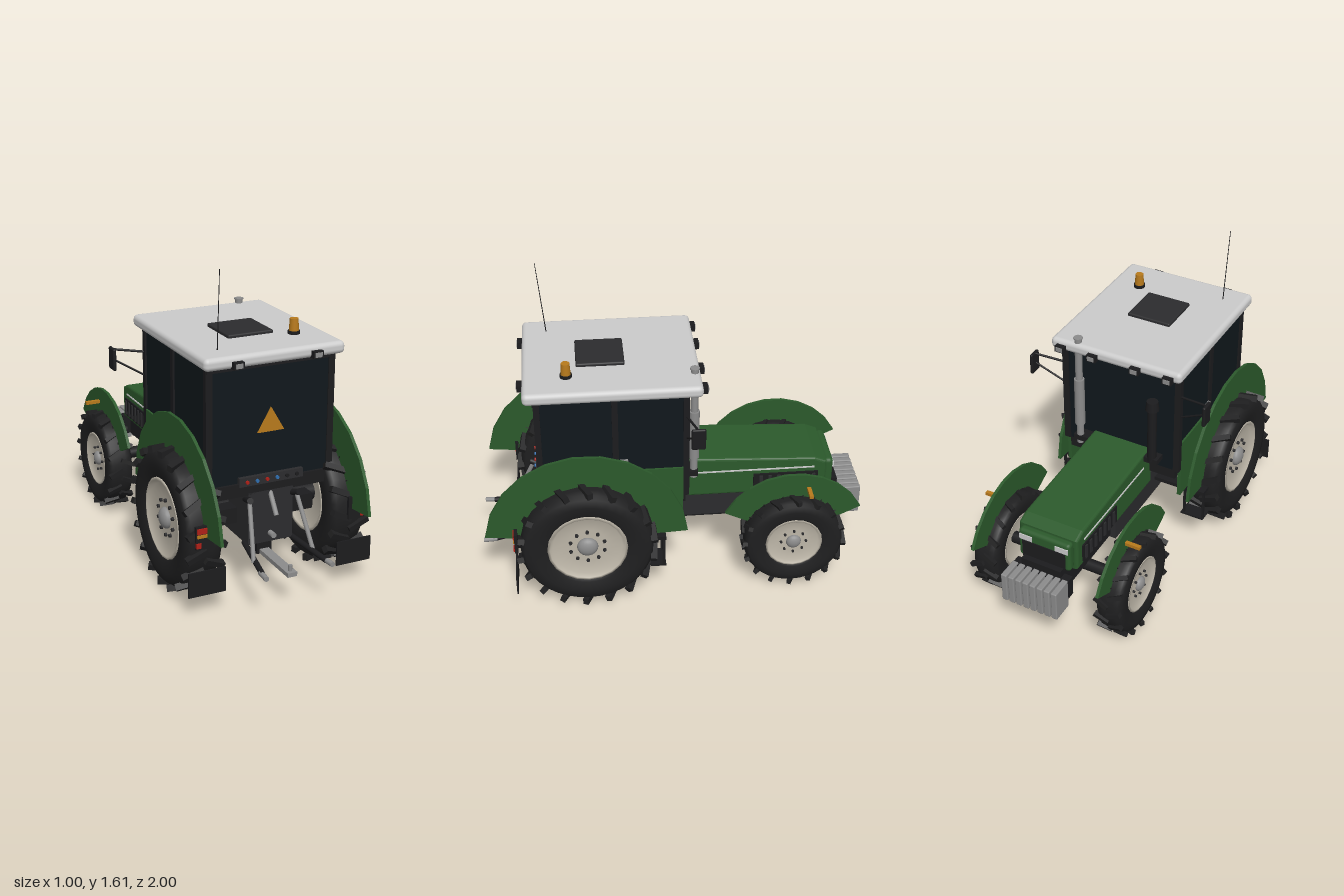
import * as THREE from 'three';
import { RoundedBoxGeometry } from 'three/addons/geometries/RoundedBoxGeometry.js';

const mat = (color, extra = {}) => new THREE.MeshStandardMaterial({ color, ...extra });
const GREEN = mat(0x2c5a2c), BLACK = mat(0x1c1c1e), TYRE = mat(0x1f1f20), DARK = mat(0x2c2c2e);
const GLASS = mat(0x10181c), ROOF = mat(0xcccccc), RIM = mat(0xbdb6a8, { side: THREE.DoubleSide });
const STEEL = mat(0x8c8c8c), AMBER = mat(0xb87a1c), RED = mat(0xb02018), BLUE = mat(0x2f6fb0);

export function createModel() {
  const root = new THREE.Group();
  const add = (name, geo, m, x = 0, y = 0, z = 0, parent = root) => {
    const mesh = new THREE.Mesh(geo, m);
    mesh.name = name;
    mesh.position.set(x, y, z);
    parent.add(mesh);
    return mesh;
  };
  // Box given by its x, y and z extents
  const box = (name, m, [x0, x1], [y0, y1], [z0, z1], parent = root) =>
    add(name, new THREE.BoxGeometry(Math.abs(x1 - x0), y1 - y0, z1 - z0), m,
      (x0 + x1) / 2, (y0 + y1) / 2, (z0 + z1) / 2, parent);
  // Round bar between two points
  const bar = (name, m, a, b, r, r2 = r, sides = 12) => {
    const p = new THREE.Vector3(...a), q = new THREE.Vector3(...b);
    const mesh = add(name, new THREE.CylinderGeometry(r2, r, p.distanceTo(q), sides), m);
    mesh.position.copy(p).add(q).multiplyScalar(0.5);
    mesh.quaternion.setFromUnitVectors(new THREE.Vector3(0, 1, 0), q.sub(p).normalize());
    return mesh;
  };
  const lathe = (pts, seg) =>
    new THREE.LatheGeometry(pts.map(p => new THREE.Vector2(...p)), seg).rotateZ(-Math.PI / 2);

  // Wheel around the x axis, outer face towards +x; w is half the width
  function wheel(name, R, rim, w, lugs, bolts) {
    const g = new THREE.Group();
    g.name = name;
    add('tyre', lathe([[rim, -w * 0.75], [rim * 1.08, -w * 0.85], [R * 0.8, -w * 0.97], [R * 0.93, -w * 0.9],
      [R * 0.985, -w * 0.7], [R, -w * 0.35], [R, w * 0.35], [R * 0.985, w * 0.7], [R * 0.93, w * 0.9],
      [R * 0.8, w * 0.97], [rim * 1.08, w * 0.85], [rim, w * 0.75]], 36), TYRE, 0, 0, 0, g);
    const face = lathe([[0, -w * 0.3], [rim * 0.8, -w * 0.3], [rim * 0.94, -w * 0.78], [rim * 1.02, -w * 0.8],
      [rim * 1.02, w * 0.8], [rim * 0.95, w * 0.83], [rim * 0.88, w * 0.62], [rim * 0.5, w * 0.55], [0, w * 0.58]], 20);
    add('rim', face, RIM, 0, 0, 0, g);
    add('hub', new THREE.SphereGeometry(rim * 0.27, 16, 10).scale(0.6, 1, 1), STEEL, w * 0.6, 0, 0, g);
    for (let i = 0; i < bolts; i++) {
      const a = i / bolts * Math.PI * 2, r = rim * 0.45;
      add('bolt', new THREE.CylinderGeometry(rim * 0.045, rim * 0.045, 0.015, 6).rotateZ(Math.PI / 2), DARK,
        w * 0.6, r * Math.cos(a), r * Math.sin(a), g);
    }
    // Slanted lugs, staggered between the two sides
    const lug = new THREE.BoxGeometry(w * 1.1, R * 0.1, R * 0.085);
    for (const s of [1, -1]) for (let i = 0; i < lugs; i++) {
      const a = (i + (s > 0 ? 0 : 0.5)) / lugs * Math.PI * 2, r = R * 1.005;
      add('lug', lug, TYRE, s * w * 0.48, r * Math.cos(a), r * Math.sin(a), g).rotation.set(a, s * 0.45, 0);
    }
    return g;
  }

  // Flat crescent fender, upright in the plane of the wheel
  function fender(name, x, y, z, r0, r1, a0, a1, n) {
    const pts = [];
    for (let i = 0; i <= n; i++) pts.push([r1, a0 + (a1 - a0) * i / n]);
    for (let i = n; i >= 0; i--) pts.push([r0, a0 + (a1 - a0) * i / n]);
    const shape = new THREE.Shape(pts.map(([r, d]) => new THREE.Vector2(
      r * Math.cos(d * Math.PI / 180), r * Math.sin(d * Math.PI / 180))));
    const geo = new THREE.ExtrudeGeometry(shape, { depth: 0.016, bevelEnabled: false })
      .translate(0, 0, -0.008).rotateY(Math.PI / 2);
    add(name, geo, GREEN, x, y, z);
  }

  for (const s of [1, -1]) {
    const rear = wheel('rearWheel', 0.338, 0.2, 0.1, 18, 10);
    rear.position.set(s * 0.385, 0.36, 0.46);
    const front = wheel('frontWheel', 0.255, 0.145, 0.073, 16, 8);
    front.position.set(s * 0.355, 0.276, -0.605);
    for (const w of [rear, front]) { if (s < 0) w.rotation.y = Math.PI; root.add(w); }
    fender('rearFender', s * 0.387, 0.36, 0.46, 0.34, 0.515, 3, 174, 11);
    fender('frontFender', s * 0.35, 0.28, -0.6, 0.26, 0.39, 26, 154, 9);
    box('markerLight', AMBER, [s * 0.355, s * 0.437], [0.575, 0.592], [-0.685, -0.665]);

    // Mud flap and rear lamps
    box('mudFlap', BLACK, [s * 0.3, s * 0.49], [0.11, 0.235], [0.822, 0.83]);
    box('lampHousing', BLACK, [s * 0.36, s * 0.45], [0.345, 0.46], [0.81, 0.826]);
    box('tailLamp', RED, [s * 0.39, s * 0.445], [0.425, 0.452], [0.82, 0.832]);
    box('turnLamp', AMBER, [s * 0.39, s * 0.445], [0.405, 0.42], [0.82, 0.832]);
    box('reflector', RED, [s * 0.425, s * 0.45], [0.355, 0.38], [0.82, 0.832]);

    // Mirror on two stays
    add('mirror', new RoundedBoxGeometry(0.018, 0.115, 0.07, 2, 0.008), BLACK, s * 0.49, 1.015, -0.092);
    bar('mirrorStay', BLACK, [s * 0.32, 1.04, -0.05], [s * 0.49, 1.065, -0.09], 0.006);
    bar('mirrorStay', BLACK, [s * 0.32, 0.91, -0.05], [s * 0.485, 1.01, -0.09], 0.005);

    // Step below the door
    box('step', BLACK, [s * 0.3, s * 0.43], [0.19, 0.2], [0.06, 0.14]);
    for (const x of [0.31, 0.42]) box('stepHanger', BLACK, [s * x, s * (x + 0.01)], [0.19, 0.37], [0.065, 0.08]);
    box('stepBracket', BLACK, [s * 0.12, s * 0.43], [0.36, 0.38], [0.06, 0.12]);

    // Cab pillars and lower side panel
    box('sidePanel', GREEN, [s * 0.318, s * 0.338], [0.4, 0.74], [-0.035, 0.3]);
    for (const z of [-0.05, 0.3, 0.675])
      box('pillar', BLACK, [s * 0.305, s * 0.338], [0.57, 1.165], [z - 0.015, z + 0.015]);
    box('doorHandle', STEEL, [s * 0.335, s * 0.348], [0.79, 0.81], [0.24, 0.28]);

    // Work lamps under the roof edges
    for (const [x, z] of [[0.205, 0.75], [0.3, -0.135], [0.12, -0.135]]) {
      box('workLamp', BLACK, [s * x - 0.026, s * x + 0.026], [1.165, 1.2], [z - 0.02, z + 0.015]);
      box('workLampLens', STEEL, [s * x - 0.018, s * x + 0.018], [1.171, 1.194],
        z > 0 ? [z + 0.013, z + 0.018] : [z - 0.024, z - 0.018]);
    }

    // Three-point linkage
    bar('lowerArm', BLACK, [s * 0.12, 0.25, 0.66], [s * 0.17, 0.222, 0.95], 0.014);
    bar('armEnd', STEEL, [s * 0.17, 0.222, 0.93], [s * 0.175, 0.222, 1.0], 0.013);
    bar('liftRod', STEEL, [s * 0.125, 0.5, 0.72], [s * 0.16, 0.23, 0.84], 0.011);
    bar('liftArm', BLACK, [s * 0.1, 0.46, 0.62], [s * 0.13, 0.5, 0.74], 0.016);

    // Hood side grille, stripe and head lamp
    box('sideGrille', BLACK, [s * 0.16, s * 0.172], [0.45, 0.55], [-0.76, -0.42]);
    for (let i = 0; i < 7; i++)
      box('grilleSlat', DARK, [s * 0.17, s * 0.178], [0.46, 0.54], [-0.745 + i * 0.046, -0.727 + i * 0.046]);
    box('hoodStripe', ROOF, [s * 0.16, s * 0.168], [0.572, 0.58], [-0.74, -0.12]);
    box('headLamp', ROOF, [s * 0.065, s * 0.135], [0.545, 0.575], [-0.85, -0.842]);
  }

  // Hood from its side profile
  const hoodSide = new THREE.Shape([[0.04, 0.44], [0.79, 0.44], [0.79, 0.595], [0.74, 0.615], [0.04, 0.65]]
    .map(p => new THREE.Vector2(...p)));
  add('hood', new THREE.ExtrudeGeometry(hoodSide, { depth: 0.3, bevelSize: 0.014, bevelThickness: 0.014, bevelSegments: 3 })
    .translate(0, 0, -0.15).rotateY(Math.PI / 2), GREEN);
  add('nose', new RoundedBoxGeometry(0.29, 0.17, 0.05, 2, 0.02), GREEN, 0, 0.515, -0.82);
  box('frontGrille', BLACK, [-0.12, 0.12], [0.44, 0.54], [-0.85, -0.84]);

  // Drive train, axles and front weights
  box('chassis', DARK, [-0.14, 0.14], [0.285, 0.445], [-0.38, 0.12]);
  box('sump', BLACK, [-0.1, 0.1], [0.245, 0.29], [-0.34, -0.06]);
  box('frontFrame', BLACK, [-0.11, 0.11], [0.3, 0.45], [-0.88, -0.36]);
  box('gearHousing', DARK, [-0.12, 0.12], [0.25, 0.52], [0.1, 0.7]);
  bar('frontAxle', BLACK, [-0.34, 0.276, -0.605], [0.34, 0.276, -0.605], 0.032);
  bar('rearAxle', BLACK, [-0.36, 0.36, 0.46], [0.36, 0.36, 0.46], 0.05);
  box('axleBeam', BLACK, [-0.3, 0.3], [0.32, 0.4], [0.5, 0.58]);
  box('weightCarrier', BLACK, [-0.155, 0.155], [0.3, 0.41], [-0.9, -0.84]);
  for (let i = 0; i < 8; i++)
    add('frontWeight', new RoundedBoxGeometry(0.032, 0.165, 0.115, 2, 0.006), STEEL, -0.14 + i * 0.04, 0.337, -0.9425);

  // Cab with its roof
  box('cabGlass', GLASS, [-0.328, 0.328], [0.57, 1.165], [-0.055, 0.685]);
  box('cabFloor', BLACK, [-0.31, 0.31], [0.51, 0.575], [-0.05, 0.7]);
  for (const z of [-0.06, 0.68]) box('cabSill', BLACK, [-0.335, 0.335], [1.14, 1.165], [z, z + 0.015]);
  add('roof', new RoundedBoxGeometry(0.73, 0.062, 0.87, 3, 0.024), ROOF, 0, 1.193, 0.305);
  add('roofHatch', new RoundedBoxGeometry(0.24, 0.025, 0.24, 2, 0.008), DARK, 0, 1.228, 0.355);
  bar('beaconBase', BLACK, [0.203, 1.22, 0.525], [0.203, 1.24, 0.525], 0.03);
  bar('beacon', AMBER, [0.203, 1.235, 0.525], [0.203, 1.3, 0.525], 0.025, 0.021, 16);
  bar('antenna', BLACK, [-0.245, 1.22, 0.615], [-0.252, 1.61, 0.652], 0.0025, 0.0015, 6);

  // Warning triangle and rear control panel
  const tri = new THREE.Shape([[-0.07, 0.815], [0.07, 0.815], [0, 0.935]].map(p => new THREE.Vector2(...p)));
  add('warningTriangle', new THREE.ExtrudeGeometry(tri, { depth: 0.008, bevelEnabled: false }), AMBER, 0, 0, 0.684);
  box('rearPanel', DARK, [-0.17, 0.17], [0.56, 0.605], [0.68, 0.705]);
  [RED, BLUE, RED, BLUE, BLACK, BLACK].forEach((m, i) =>
    add('coupling', new THREE.CylinderGeometry(0.009, 0.009, 0.012, 10).rotateX(Math.PI / 2), m,
      -0.13 + i * 0.053, 0.582, 0.708));

  // Exhaust on one side, air intake on the other
  bar('exhaustPipe', STEEL, [0.22, 0.6, -0.1], [0.22, 1.25, -0.1], 0.019);
  bar('muffler', STEEL, [0.22, 0.72, -0.1], [0.22, 1.0, -0.1], 0.027);
  bar('exhaustCap', STEEL, [0.22, 1.243, -0.1], [0.22, 1.25, -0.1], 0.024);
  for (const x of [0.19, -0.18]) box('pipeBracket', BLACK, [x - 0.06, x + 0.06], [0.62, 0.65], [-0.12, -0.04]);
  bar('intakePipe', BLACK, [-0.2, 0.63, -0.1], [-0.2, 0.96, -0.1], 0.024);
  bar('intakeHead', BLACK, [-0.2, 0.95, -0.1], [-0.2, 1.0, -0.1], 0.036, 0.03);

  // Drawbar and top link
  box('drawbar', STEEL, [-0.025, 0.025], [0.163, 0.185], [0.62, 0.93]);
  box('drawbarHanger', BLACK, [-0.04, 0.04], [0.16, 0.27], [0.6, 0.64]);
  bar('drawbarPin', STEEL, [0, 0.155, 0.905], [0, 0.215, 0.905], 0.01);
  bar('topLink', STEEL, [0, 0.51, 0.69], [0, 0.41, 0.76], 0.012);
  bar('powerShaft', STEEL, [0, 0.295, 0.68], [0, 0.295, 0.74], 0.014);
  return root;
}
